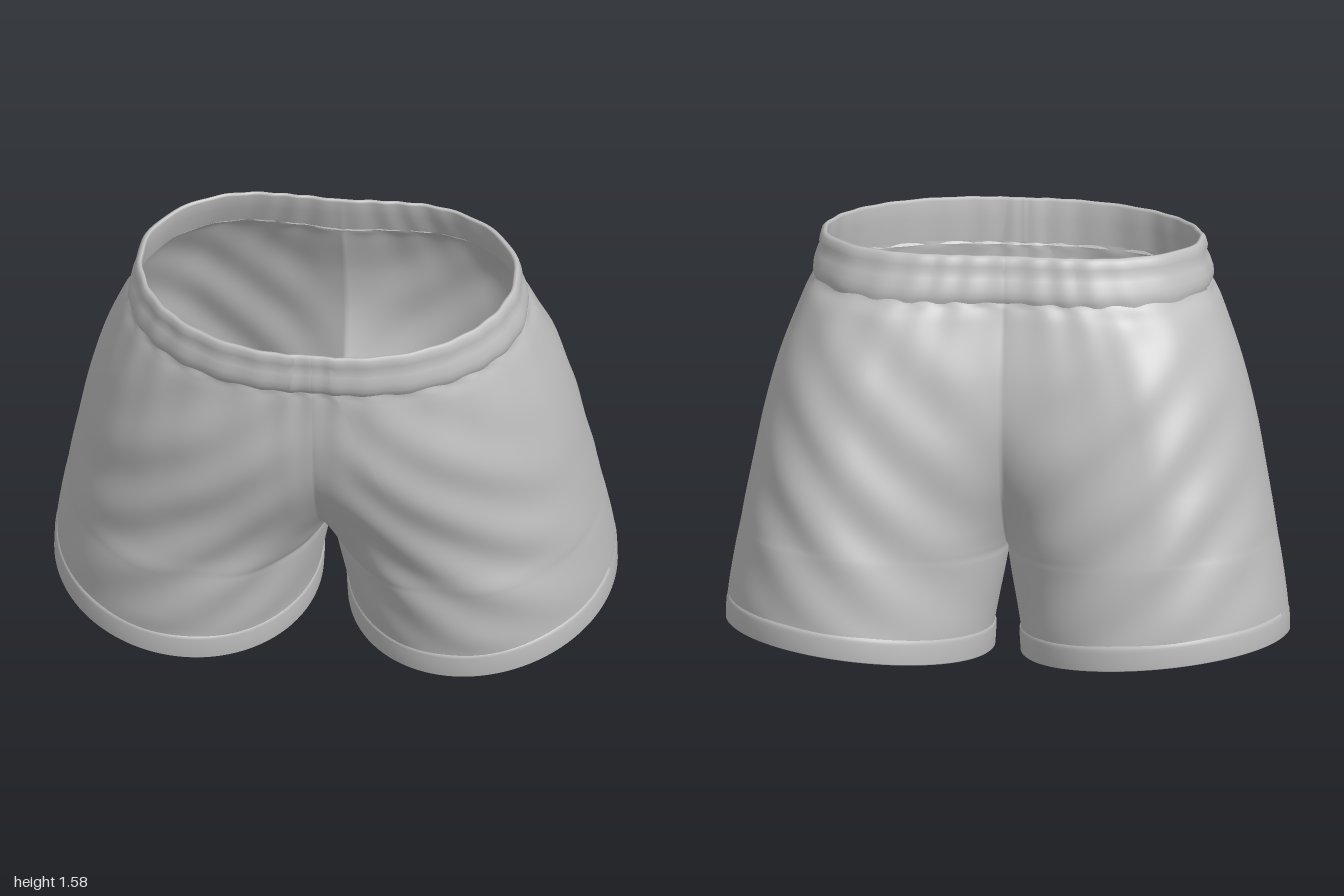
import * as THREE from 'three';
import { mergeVertices } from 'three/addons/utils/BufferGeometryUtils.js';

// Cross-sections of one half, from waist to hem:
// height, side x, side z, front peak x, z, front seam z, back peak x, z, back seam z, inseam x
const SECTIONS = [
  [1.543, 0.67, 0.12, 0.06, 0.61, 0.605, 0.25, -0.23, -0.22, 0],
  [1.39, 0.70, 0.12, 0.08, 0.60, 0.595, 0.28, -0.28, -0.26, 0],
  [1.30, 0.742, 0.10, 0.12, 0.60, 0.594, 0.36, -0.335, -0.29, 0],
  [1.10, 0.815, 0.06, 0.20, 0.597, 0.58, 0.45, -0.415, -0.36, 0],
  [0.90, 0.867, 0.03, 0.28, 0.567, 0.525, 0.50, -0.47, -0.385, 0],
  [0.70, 0.905, 0.00, 0.38, 0.517, 0.40, 0.53, -0.52, -0.34, 0],
  [0.55, 0.932, -0.03, 0.44, 0.488, 0.24, 0.54, -0.55, -0.24, 0],
  [0.47, 0.944, -0.04, 0.47, 0.48, 0.11, 0.54, -0.567, -0.14, 0],
  [0.43, 0.95, -0.05, 0.48, 0.475, -0.05, 0.54, -0.575, -0.05, 0],
  [0.36, 0.962, -0.06, 0.49, 0.467, -0.05, 0.54, -0.585, -0.05, 0.012],
  [0.24, 0.98, -0.08, 0.51, 0.452, -0.08, 0.54, -0.602, -0.08, 0.035],
  [0.15, 0.99, -0.09, 0.52, 0.437, -0.09, 0.53, -0.612, -0.09, 0.05],
  [0.07, 0.993, -0.09, 0.525, 0.43, -0.09, 0.525, -0.615, -0.09, 0.055],
];
const CROTCH = 8;
const HEM = 11;
const LAST = SECTIONS.length - 1;
const { clamp, lerp, smoothstep } = THREE.MathUtils;

// Smooth interpolation between the sections
function section(t) {
  const i = Math.min(Math.floor(t), LAST - 1), f = t - i;
  const row = (k) => SECTIONS[clamp(k, 0, LAST)];
  return SECTIONS[0].map((_, c) => {
    const p = row(i - 1)[c], a = row(i)[c], b = row(i + 1)[c], q = row(i + 2)[c];
    return a + 0.5 * f * (b - p + f * (2 * p - 5 * a + 4 * b - q + f * (3 * (a - b) + q - p)));
  });
}

// Point on the smooth half: s = -2 back seam, 0 side, 2 front seam
function basePoint(c, t, s) {
  const [y0, xs, zs, xf, zf, zfs, xb, zb, zbs, xe] = c;
  const front = s >= 0, u = Math.abs(s);
  const xp = front ? xf : xb, zp = front ? zf : zb;
  const zi = -0.05 - 0.04 * smoothstep(t, CROTCH, HEM);
  let x, z;
  if (u <= 1) {
    x = xp + (xs - xp) * Math.cos(u * Math.PI / 2);
    z = zs + (zp - zs) * Math.sin(u * Math.PI / 2);
  } else {
    const seam = front ? zfs : zbs;
    const k = t < CROTCH ? clamp((seam - zi) / (zp - zi), 0, 0.9995) : 0;
    const a = Math.sqrt(1 - k * k), phi = (u - 1) * Math.asin(a);
    x = xp - (xp - Math.max(0, xe)) * Math.sin(phi) / a;
    z = zi + (zp - zi) * Math.cos(phi);
  }
  const down = t / LAST;
  const y = y0 - lerp(0.118, 0.155, down) * z + 0.1 * smoothstep(down, 0.2, 1) * (x - 0.525);
  return [x, y, z];
}

// Uneven puckers, evenly spread around the waist
function puckers(x, z, count) {
  const angle = Math.atan2(x, z - 0.15);
  return Math.cos(angle * count + 1.5 * Math.sin(angle * 5));
}

// Diagonal cloth folds, and gathers below the waistband
function folds(x, y, z, s, t) {
  const fade = Math.pow(Math.max(0, Math.sin(Math.PI * (t - 1) / (HEM - 1))), 0.7)
    * smoothstep(Math.abs(s), 0.1, 0.7) * smoothstep(x, 0.02, 0.25);
  const diagonal = s > 0
    ? 0.008 * Math.sin(23 * (y + 0.75 * x) + 1.2 * Math.sin(4 * x))
    : 0.008 * Math.sin(19 * (y - 0.85 * x) + Math.sin(5 * x));
  const gather = 0.006 * Math.exp(-(t - 1) * 0.9) * smoothstep(t, 1, 1.4) * puckers(x, z, 24);
  return diagonal * fade + gather;
}

// Elastic ripple of the waistband
const ripple = (x, y, z) => 0.0025 * puckers(x, z, 28);

// Loft through [section, outward offset] rows, mirrored to both halves
function loft(rows, s0, s1, columns, relief) {
  const pos = [], index = [];
  for (const side of [1, -1]) {
    const start = pos.length / 3;
    rows.forEach(([t, offset], i) => {
      const c = section(t);
      for (let j = 0; j <= columns; j++) {
        const s = lerp(s0, s1, j / columns);
        const [x, y, z] = basePoint(c, t, s);
        const p = basePoint(c, t, Math.max(-2, s - 0.01));
        const q = basePoint(c, t, Math.min(2, s + 0.01));
        let nx = q[2] - p[2], nz = p[0] - q[0];
        if (Math.abs(s) > 1.9999) [nx, nz] = t < CROTCH ? [0, Math.sign(s)] : [-1, 0];
        const d = (offset + relief(x, y, z, s, t)) / (Math.hypot(nx, nz) || 1);
        pos.push(side * Math.max(0, x + nx * d), y, z + nz * d);
        if (i && j) {
          const b = start + i * (columns + 1) + j, a = b - columns - 1;
          if (side > 0) index.push(a - 1, a, b - 1, a, b, b - 1);
          else index.push(a - 1, b - 1, a, a, b - 1, b);
        }
      }
    });
  }
  const geo = new THREE.BufferGeometry();
  geo.setAttribute('position', new THREE.Float32BufferAttribute(pos, 3));
  geo.setIndex(index);
  const merged = mergeVertices(geo, 1e-4);
  merged.computeVertexNormals();
  return merged;
}

const range = (t0, t1, n, offset) =>
  Array.from({ length: n + 1 }, (_, i) => [lerp(t0, t1, i / n), offset]);

export function createModel() {
  const model = new THREE.Group();
  model.name = 'shorts';
  const cloth = new THREE.MeshStandardMaterial({ color: 0xc0c0c0, side: THREE.DoubleSide });
  cloth.name = 'light grey cloth';
  const add = (name, geometry) => {
    const mesh = new THREE.Mesh(geometry, cloth);
    mesh.name = name;
    model.add(mesh);
  };

  // Main cloth with both legs and the seat
  add('body', loft(range(1, HEM, 100, 0), -2, 2, 160, folds));

  // Flat strips down both sides
  add('sidePanels', loft([[1.05, -0.002], ...range(1.05, HEM, 70, 0.005)], -0.15, 0.11, 10, folds));

  // Gathered band with an inner face, rolled rim and stitched groove
  add('waistband', loft([
    [1.05, -0.009], [0.5, -0.014], [0.1, -0.012], [0, -0.006], [0, 0.002], [0.1, 0.01],
    [0.3, 0.013], [0.42, 0.006], [0.55, 0.013], [0.75, 0.018], [0.92, 0.014], [1.05, 0.006], [1.2, -0.004],
  ], -2, 2, 160, ripple));

  // Turned leg hems
  add('legHems', loft([
    [HEM - 0.2, -0.003], [HEM - 0.1, 0.006], [HEM, 0.003], [HEM + 0.08, 0.008], [HEM + 0.9, 0.008],
    [LAST, 0.003], [LAST, -0.004], [HEM + 0.8, -0.008], [HEM - 0.1, -0.008],
  ], -2, 2, 100, () => 0));

  return model;
}
